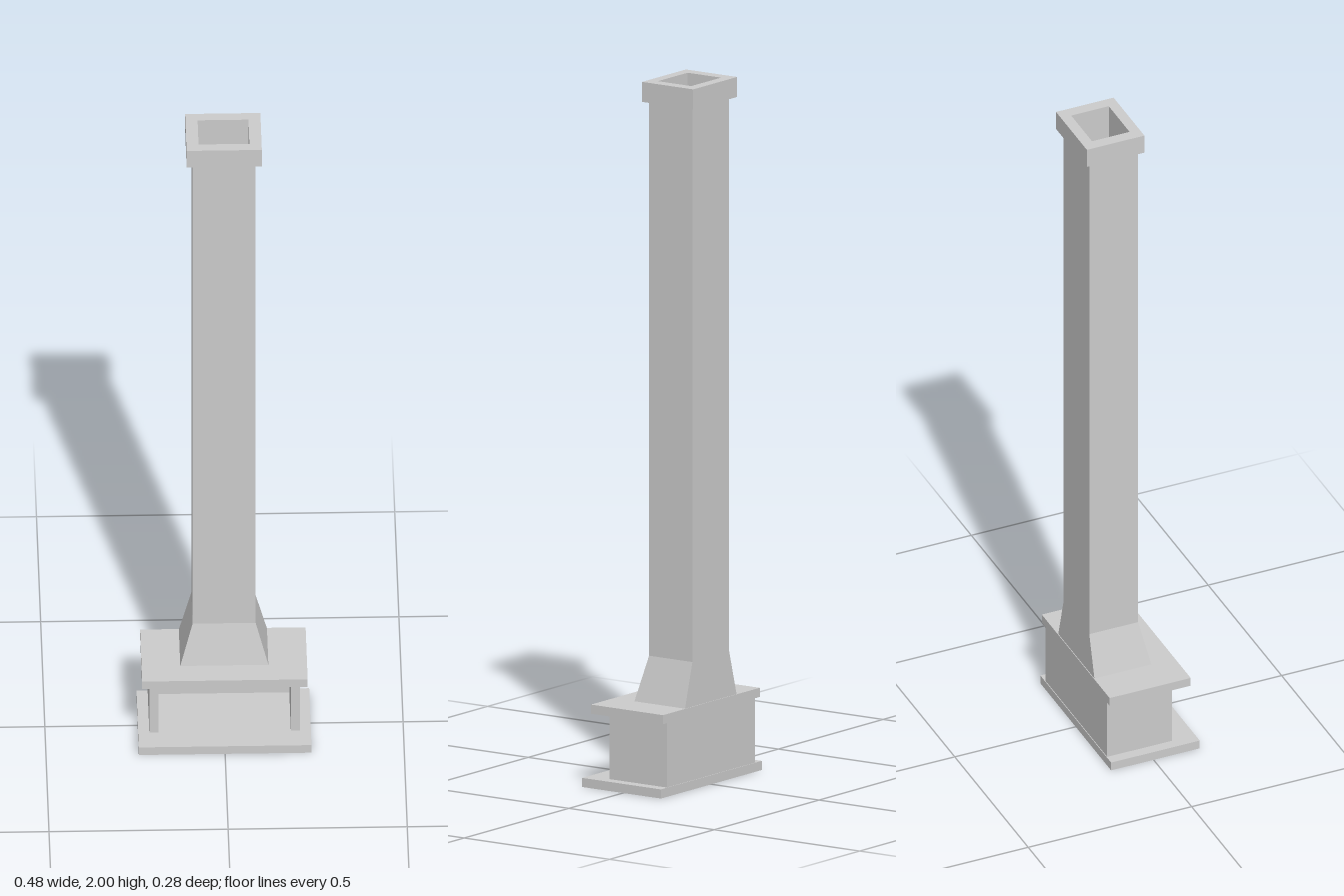
import * as THREE from 'three';

const material = new THREE.MeshStandardMaterial({ color: 0xcccccc, flatShading: true });

function part(name, geometry) {
  const mesh = new THREE.Mesh(geometry, material);
  mesh.name = name;
  return mesh;
}

// Hollow rectangular body: rings [y, halfWidth, backZ, frontZ] run up the
// outside, over the rim and down the inside, then close underneath.
function hollow(rings) {
  const corners = rings.map(([y, w, back, front]) => [
    [w, y, front], [w, y, back], [-w, y, back], [-w, y, front],
  ]);
  const positions = [];
  corners.forEach((low, r) => {
    const high = corners[(r + 1) % corners.length];
    for (let i = 0; i < 4; i++) {
      const j = (i + 1) % 4;
      positions.push(...low[i], ...low[j], ...high[j], ...low[i], ...high[j], ...high[i]);
    }
  });
  const geometry = new THREE.BufferGeometry();
  geometry.setAttribute('position', new THREE.Float32BufferAttribute(positions, 3));
  geometry.computeVertexNormals();
  return geometry;
}

// Flat slab pierced by the flue throat
const throat = [0.071, -0.112, -0.017];
function slab(y0, y1, w, back, front) {
  return hollow([[y0, w, back, front], [y1, w, back, front], [y1, ...throat], [y0, ...throat]]);
}

export function createModel() {
  const group = new THREE.Group();

  // Hearth slab
  const hearth = part('hearth', new THREE.BoxGeometry(0.482, 0.026, 0.271));
  hearth.position.set(0, 0.013, 0.0055);
  group.add(hearth);

  // Firebox: U-shaped walls, open to the front (shape y becomes -z)
  const plan = new THREE.Shape([
    [-0.21, -0.07], [-0.185, -0.07], [-0.185, 0.112], [0.185, 0.112],
    [0.185, -0.07], [0.21, -0.07], [0.21, 0.128], [-0.21, 0.128],
  ].map(([x, y]) => new THREE.Vector2(x, y)));
  const walls = new THREE.ExtrudeGeometry(plan, { depth: 0.184, bevelEnabled: false });
  walls.rotateX(-Math.PI / 2).translate(0, 0.026, 0);
  group.add(part('fireboxWalls', walls));

  // Firebox ceiling and mantel shelf
  group.add(part('fireboxCeiling', slab(0.2, 0.21, 0.185, -0.112, 0.07)));
  group.add(part('mantelShelf', slab(0.21, 0.236, 0.231, -0.13, 0.118)));

  // Tapered hood, shaft and cap, with the flue running down inside
  group.add(part('chimney', hollow([
    [0.236, 0.123, -0.128, 0.046],
    [0.363, 0.088, -0.128, 0.021],
    [1.943, 0.088, -0.128, 0.021],
    [1.943, 0.105, -0.143, 0.033],
    [2, 0.105, -0.143, 0.033],
    [2, 0.071, -0.112, 0.003],
    [0.363, 0.071, -0.112, 0.003],
    [0.236, ...throat],
  ])));

  return group;
}
